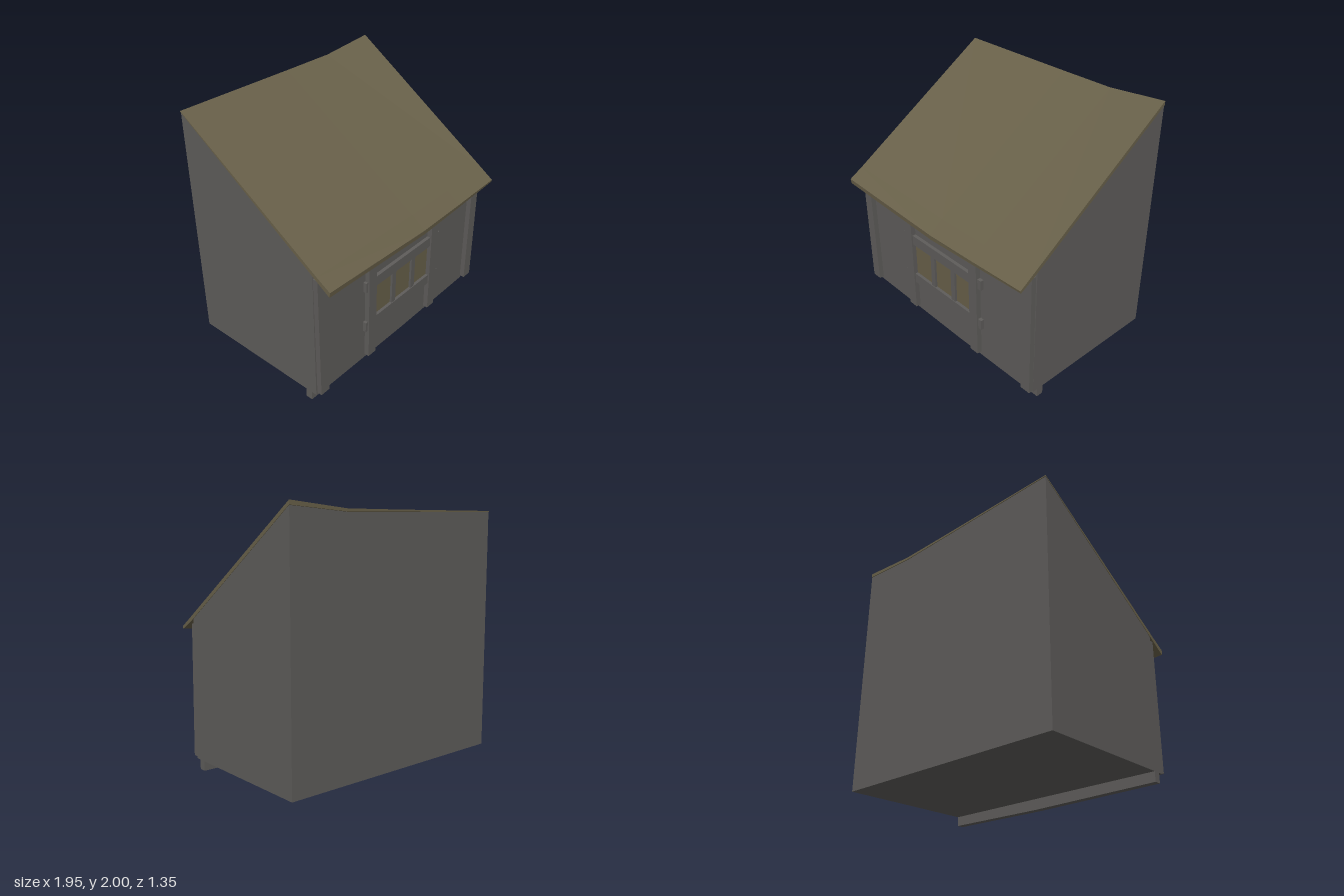
import * as THREE from 'three';

// Skin a row of matching [z, y] cross-sections placed at the given x stations, with flat end caps
function loft(xs, sections) {
  const pos = [];
  const put = (i, j) => pos.push(xs[i], sections[i][j][1], sections[i][j][0]);
  const n = sections[0].length, last = xs.length - 1;
  for (let i = 0; i < last; i++) {
    for (let j = 0; j < n; j++) {
      const k = (j + 1) % n;
      put(i, j); put(i, k); put(i + 1, k);
      put(i, j); put(i + 1, k); put(i + 1, j);
    }
  }
  for (let s = 1; s < n - 1; s++) {
    const b = (1 + s) % n, c = (2 + s) % n;
    put(last, 1); put(last, b); put(last, c);
    put(0, 1); put(0, c); put(0, b);
  }
  const g = new THREE.BufferGeometry();
  g.setAttribute('position', new THREE.Float32BufferAttribute(pos, 3));
  g.computeVertexNormals();
  return g;
}

export function createModel() {
  const group = new THREE.Group();
  const mat = (name, color) => {
    const m = new THREE.MeshStandardMaterial({ color });
    m.name = name;
    return m;
  };
  const wood = mat('weathered grey', 0x5e5c5a);
  const straw = mat('dull straw brown', 0x686049);

  const add = (name, geometry, material) => {
    const m = new THREE.Mesh(geometry, material);
    m.name = name;
    group.add(m);
    return m;
  };
  const box = (name, material, x0, x1, y0, y1, z0, z1) => {
    const m = add(name, new THREE.BoxGeometry(x1 - x0, y1 - y0, z1 - z0), material);
    m.position.set((x0 + x1) / 2, (y0 + y1) / 2, (z0 + z1) / 2);
    return m;
  };

  // Sagging roof line: x, front height, back height, front and back thickness
  const ribs = [
    [-0.975, 1.10, 1.96, 0.04, 0.008],
    [0.05, 1.06, 1.955, 0.04, 0.015],
    [0.5, 1.072, 1.955, 0.03, 0.02],
    [0.975, 1.09, 2.0, 0.02, 0.03],
  ];
  const xs = ribs.map((r) => r[0]);
  const zF = 0.675, zB = -0.675, zWall = 0.52, zEave = 0.56;
  // Straight slope behind the eave, which alone droops in the middle
  const slopeY = (r, z) => {
    const front = 1.095 - (1.10 - r[1]) * 0.5;
    return THREE.MathUtils.lerp(front, r[2], (zF - z) / (zF - zB));
  };

  // Lean-to roof
  add('roof', loft(xs, ribs.map((r) => [
    [zB, r[2]], [zEave, slopeY(r, zEave)], [zF, r[1]],
    [zF - 0.005, r[1] - r[3]], [zEave, slopeY(r, zEave) - 0.035], [zB, r[2] - r[4]],
  ])), straw);

  // Walls and floor, tucked under the roof
  add('walls', loft(xs.map((x) => x * 0.997), ribs.map((r) => [
    [-0.672, r[2] - r[4]], [zWall, slopeY(r, zWall) - 0.034], [zWall, 0.085], [-0.672, 0.085],
  ])), wood);

  // Sill beam below the front wall, slightly bowed
  const sillX = [-0.972, 0.1, 0.972];
  add('sill', loft(sillX, [0.01, 0, 0.01].map((y) => [
    [0.42, 0.09], [0.475, 0.09], [0.475, y], [0.42, y],
  ])), wood);

  // Slightly crooked posts: bottom x, top x, width, top height
  [
    [-0.917, -0.926, 0.085, 1.13],
    [-0.388, -0.394, 0.085, 1.115],
    [0.375, 0.366, 0.085, 1.11],
    [0.928, 0.918, 0.088, 1.12],
  ].forEach(([b, t, w, top]) => {
    const h = w / 2;
    const g = new THREE.BoxGeometry(w, top - 0.1, 0.05);
    const p = g.attributes.position;
    for (let i = 0; i < p.count; i++) {
      p.setX(i, (p.getX(i) > 0 ? h : -h) + (p.getY(i) > 0 ? t : b));
    }
    g.computeVertexNormals();
    add('post', g, wood).position.set(0, (top + 0.1) / 2, 0.535);
  });

  // Window rails, mullions and panes
  box('upperRail', wood, -0.455, 0.448, 0.718, 0.802, 0.51, 0.548);
  box('lowerRail', wood, -0.455, 0.448, 0.35, 0.435, 0.51, 0.548);
  box('mullion', wood, -0.14, -0.095, 0.43, 0.722, 0.51, 0.542);
  box('mullion', wood, 0.1, 0.145, 0.43, 0.722, 0.51, 0.542);
  [[-0.355, -0.138], [-0.097, 0.102], [0.143, 0.335]].forEach(([a, b]) =>
    box('windowPane', straw, a, b, 0.432, 0.72, 0.517, 0.524));

  return group;
}
